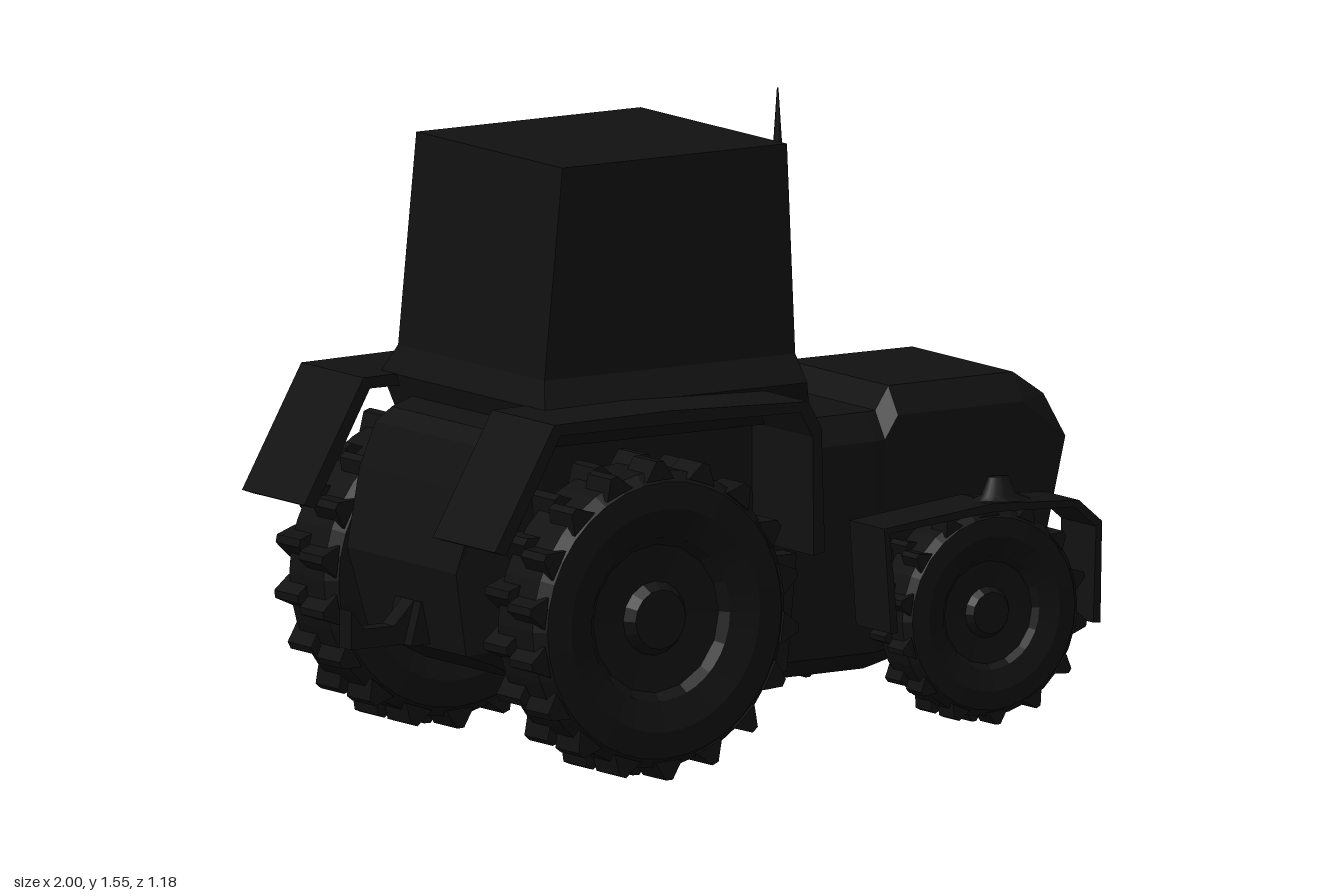
import * as THREE from 'three';

const dark = new THREE.MeshStandardMaterial({ color: 0x111111, flatShading: true, side: THREE.DoubleSide });
const smooth = new THREE.MeshStandardMaterial({ color: 0x111111, side: THREE.DoubleSide });

function part(parent, name, geometry, x = 0, y = 0, z = 0, material = dark) {
  const mesh = new THREE.Mesh(geometry, material);
  mesh.name = name;
  mesh.position.set(x, y, z);
  parent.add(mesh);
  return mesh;
}

const vectors = (points) => points.map(([x, y]) => new THREE.Vector2(x, y));

// Side profile (x, y) extruded across the width, centred on z = 0
function slab(points, width) {
  const g = new THREE.ExtrudeGeometry(new THREE.Shape(vectors(points)), { depth: width, bevelEnabled: false });
  return g.translate(0, 0, -width / 2);
}

// Bent sheet following a side path, thickened towards a centre
function sheet(path, width, centre, t) {
  const inner = path.map(([x, y]) => {
    const d = Math.hypot(centre[0] - x, centre[1] - y);
    return [x + (centre[0] - x) * t / d, y + (centre[1] - y) * t / d];
  });
  return slab([...path, ...inner.reverse()], width);
}

// Mirrored sections along x; each is rows [x, y, halfWidth] from bottom to top
function loft(sections) {
  const rows = sections[0].length, ring = rows * 2, pos = [], index = [];
  for (const s of sections) {
    for (const [x, y, w] of s) pos.push(x, y, w);
    for (const [x, y, w] of [...s].reverse()) pos.push(x, y, -w);
  }
  for (let i = 0; i < sections.length - 1; i++) {
    for (let k = 0; k < ring; k++) {
      const p = i * ring + k, q = i * ring + (k + 1) % ring;
      index.push(p, p + ring, q + ring, p, q + ring, q);
    }
  }
  // End caps, row by row
  const last = (sections.length - 1) * ring;
  for (let k = 0; k < rows - 1; k++) {
    const a = k, b = k + 1, c = ring - 2 - k, d = ring - 1 - k;
    index.push(a, b, c, a, c, d, last + a, last + c, last + b, last + a, last + d, last + c);
  }
  const g = new THREE.BufferGeometry();
  g.setAttribute('position', new THREE.Float32BufferAttribute(pos, 3));
  g.setIndex(index);
  g.computeVertexNormals();
  return g;
}

// Eight-sided body section
const section = (x, bottom, top, w) =>
  [[x, bottom, w - 0.06], [x, bottom + 0.05, w], [x, top - 0.07, w], [x, top, w - 0.045]];

// Lugged wheel with a dished rim; the outside faces +z
function makeWheel(name, radius, width, lugs) {
  const wheel = new THREE.Group();
  wheel.name = name;
  const r = radius * 0.93, h = width / 2;
  const tyre = vectors([[0.55, -0.8], [0.75, -1], [0.93, -0.95], [1, -0.7], [1, 0.7], [0.93, 0.95], [0.75, 1], [0.55, 0.8]]
    .map(([a, b]) => [a * r, b * h]));
  part(wheel, 'tyre', new THREE.LatheGeometry(tyre, lugs * 2).rotateX(Math.PI / 2));
  const rim = vectors([[0.56, 0.8], [0.5, 0.6], [0.25, 0.55], [0.2, 0.8], [0, 0.8]].map(([a, b]) => [a * r, b * h]));
  part(wheel, 'rim', new THREE.LatheGeometry(rim, 16).rotateX(Math.PI / 2));
  part(wheel, 'rimBack', new THREE.CylinderGeometry(r * 0.57, r * 0.57, h * 0.2, 16).rotateX(Math.PI / 2), 0, 0, -h * 0.7);
  // Chevron tread: tapered bars on both halves, nearly in step
  const w = radius * 0.1, t = radius * 0.025;
  const lug = slab([[-w, radius * 0.88], [w, radius * 0.88], [t, radius], [-t, radius]], h * 0.95);
  for (let i = 0; i < lugs; i++) {
    for (const side of [1, -1]) {
      const bar = part(wheel, 'lug', lug, 0, 0, side * h * 0.49);
      bar.rotation.z = (i + side * 0.1) * 2 * Math.PI / lugs;
    }
  }
  return wheel;
}

export function createModel() {
  const tractor = new THREE.Group();
  tractor.name = 'tractor';

  // Chassis and bonnet in one body with a flat-sided nose
  part(tractor, 'body', loft([
    [[-0.78, 0.3, 0.22], [-0.83, 0.52, 0.25], [-0.775, 0.72, 0.275], [-0.73, 0.83, 0.27]],
    section(-0.7, 0.27, 0.87, 0.285),
    section(-0.6, 0.22, 0.9, 0.295),
    section(-0.13, 0.16, 0.92, 0.3),
    section(0.08, 0.16, 0.92, 0.3),
    section(0.16, 0.16, 0.82, 0.295),
    section(0.42, 0.16, 0.82, 0.285),
    section(0.45, 0.165, 0.82, 0.28),
    section(0.49, 0.175, 0.88, 0.28),
    section(0.87, 0.28, 0.88, 0.275),
    [[0.93, 0.29, 0.23], [0.95, 0.5, 0.275], [1, 0.71, 0.275], [0.95, 0.82, 0.25]],
  ]));

  // Cab tapering upwards, with a flared skirt
  const cab = [[0.84, -0.62, 0.17, 0.35], [0.94, -0.65, 0.145, 0.375], [1.01, -0.625, 0.135, 0.335], [1.55, -0.57, 0.11, 0.335]];
  part(tractor, 'cab', loft([1, 2].map((i) => cab.map((l) => [l[i], l[0], l[3]]))), 0, 0, 0.01);

  // Tow hitch
  part(tractor, 'hitch', slab([
    [-1, 0.31], [-0.7, 0.31], [-0.7, 0.42], [-0.81, 0.42], [-0.87, 0.36], [-0.96, 0.36], [-1, 0.41],
  ], 0.055));
  part(tractor, 'hitchMount', slab([[-0.84, 0.31], [-0.7, 0.31], [-0.7, 0.42], [-0.81, 0.42]], 0.12));

  // Exhaust stack on the right of the bonnet
  const stack = vectors([[0.006, 0.58], [0.007, 0.95], [0.014, 1.08], [0.014, 1.3], [0.005, 1.34], [0.012, 1.4], [0.002, 1.55]]);
  part(tractor, 'exhaust', new THREE.LatheGeometry(stack, 8), 0.565, 0, -0.385, smooth);

  for (const side of [1, -1]) {
    const label = side > 0 ? 'left' : 'right';
    const half = new THREE.Group();
    half.name = label + 'RunningGear';
    tractor.add(half);

    // Wheels and axles
    for (const [name, x, y, z, r, w, n] of [
      ['RearWheel', -0.42, 0.41, 0.478, 0.41, 0.225, 18], ['FrontWheel', 0.63, 0.32, 0.435, 0.285, 0.15, 14],
    ]) {
      const wheel = makeWheel(label + name, r, w, n);
      wheel.position.set(x, y, side * z);
      if (side < 0) wheel.rotation.y = Math.PI;
      half.add(wheel);
      part(half, label + name + 'Axle', new THREE.CylinderGeometry(0.06, 0.06, 0.26, 10).rotateX(Math.PI / 2), x, y, side * 0.33);
    }

    // Rear mudguard
    part(half, label + 'RearFender', sheet([
      [-0.93, 0.63], [-0.75, 0.94], [-0.4, 0.945], [0.02, 0.93], [0.06, 0.86], [0.07, 0.54],
    ], 0.285, [-0.42, 0.45], 0.035), 0, 0, side * 0.437);

    // Front mudguard with raised boss
    part(half, label + 'FrontFender', sheet([
      [0.31, 0.3], [0.29, 0.57], [0.62, 0.605], [0.88, 0.59], [0.95, 0.53], [0.945, 0.27],
    ], 0.16, [0.62, 0.3], 0.022), 0, 0, 0.007 + side * 0.432);
    const boss = vectors([[0.1, 0], [0.05, 0.02], [0.03, 0.065], [0, 0.065]]);
    part(half, label + 'FenderBoss', new THREE.LatheGeometry(boss, 12).scale(1, 1, 0.6), 0.68, 0.595, 0.007 + side * 0.445, smooth);

    // Waisted bracket joining mudguard to body
    const neck = vectors([[0.1, -0.06], [0.05, -0.02], [0.05, 0.02], [0.1, 0.06]]);
    part(half, label + 'FenderBracket', new THREE.LatheGeometry(neck, 12).rotateX(Math.PI / 2).scale(1, 0.35, 1),
      0.63, 0.56, side * 0.315, smooth);

    // Step tank below the cab door
    part(half, label + 'StepTank', slab([[-0.08, 0.2], [0.1, 0.2], [0.13, 0.5], [-0.02, 0.5]], 0.1), 0, 0, side * 0.31);
  }
  return tractor;
}
